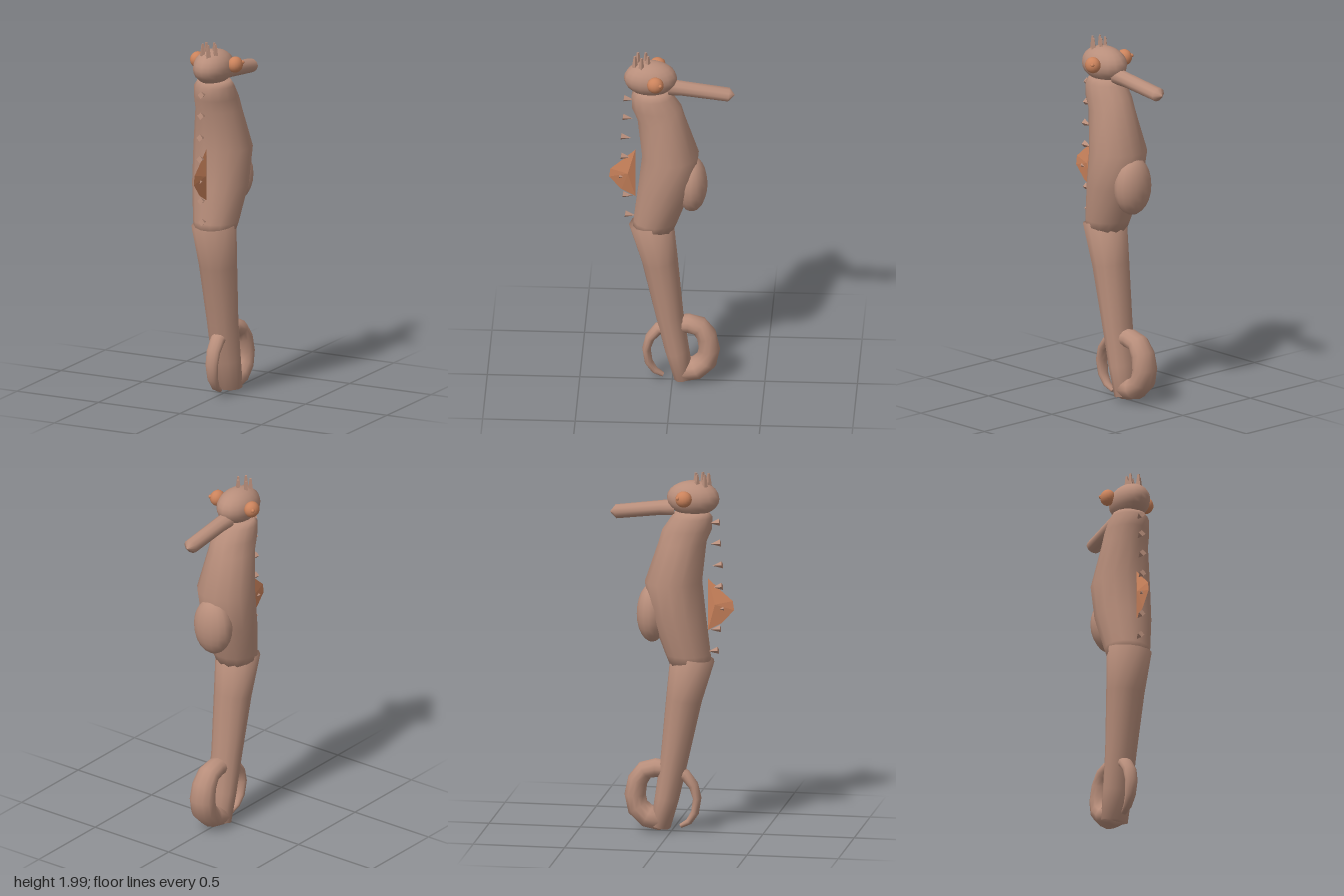
import * as THREE from 'three';

// Skin over oval rings [z, y, in-plane radius, x radius]; level keeps rings horizontal
function loft(rings, sides, level = false) {
  const pos = [], idx = [];
  rings.forEach(([z, y, r, rx], i) => {
    const a = rings[Math.max(i - 1, 0)], b = rings[Math.min(i + 1, rings.length - 1)];
    let tz = b[0] - a[0], ty = b[1] - a[1];
    const len = Math.hypot(tz, ty) || 1;
    tz /= len; ty /= len;
    if (level) { tz = 0; ty = Math.sign(ty) || 1; }
    for (let j = 0; j < sides; j++) {
      const t = (j / sides) * Math.PI * 2, c = Math.cos(t) * rx, s = Math.sin(t) * r;
      pos.push(c, y + s * tz, z - s * ty);
      if (i < rings.length - 1) {
        const p = i * sides + j, q = i * sides + (j + 1) % sides;
        idx.push(p, q, q + sides, p, q + sides, p + sides);
      }
    }
  });
  const g = new THREE.BufferGeometry();
  g.setAttribute('position', new THREE.Float32BufferAttribute(pos, 3));
  g.setIndex(idx);
  g.computeVertexNormals();
  return g;
}

export function createModel() {
  const model = new THREE.Group();
  const skin = new THREE.MeshStandardMaterial({ color: 0xb88e7b });
  skin.name = 'dusty skin';
  const orange = new THREE.MeshStandardMaterial({ color: 0xcb835c });
  orange.name = 'orange';
  const spikeMat = skin;

  const add = (name, geo, mat, x = 0, y = 0, z = 0) => {
    const m = new THREE.Mesh(geo, mat);
    m.name = name;
    m.position.set(x, y, z);
    model.add(m);
    return m;
  };
  const ball = (name, mat, x, y, z, rx, ry, rz) => {
    const m = add(name, new THREE.SphereGeometry(1, 16, 12), mat, x, y, z);
    m.scale.set(rx, ry, rz);
    return m;
  };

  // Trunk, bulging forward at the chest
  add('trunk', loft([
    [0.105, 0.94, 0, 0], [0.105, 0.94, 0.112, 0.112], [0.09, 1.0, 0.122, 0.125],
    [0.04, 1.2, 0.147, 0.155], [0.01, 1.4, 0.155, 0.162], [0.06, 1.62, 0.13, 0.125],
    [0.085, 1.69, 0.135, 0.118], [0.11, 1.76, 0.112, 0.108], [0.11, 1.79, 0.09, 0.09], [0.11, 1.79, 0, 0],
  ], 14, true), skin);
  ball('pouch', skin, 0, 1.22, -0.105, 0.115, 0.16, 0.085);

  // Tapering tail
  add('tail', loft([
    [0.115, 0.985, 0, 0], [0.115, 0.985, 0.122, 0.122], [0.068, 0.75, 0.098, 0.105],
    [0.016, 0.42, 0.076, 0.088], [-0.025, 0.2, 0.066, 0.083], [-0.06, 0.04, 0.055, 0.078], [-0.06, 0.04, 0, 0],
  ], 12), skin);

  // Curl sweeping forward, over and through to the back
  add('tailCurl', loft([
    [-0.05, 0.075, 0, 0], [-0.05, 0.075, 0.062, 0.078], [-0.13, 0.09, 0.062, 0.078],
    [-0.185, 0.14, 0.06, 0.077], [-0.2, 0.21, 0.058, 0.075], [-0.185, 0.29, 0.055, 0.07],
    [-0.145, 0.345, 0.052, 0.064], [-0.085, 0.36, 0.052, 0.058], [-0.01, 0.355, 0.045, 0.05],
    [0.075, 0.325, 0.032, 0.042], [0.12, 0.27, 0.027, 0.04], [0.14, 0.2, 0.023, 0.037],
    [0.128, 0.12, 0.022, 0.031], [0.095, 0.068, 0.018, 0.024], [0.05, 0.042, 0.012, 0.015], [0.05, 0.042, 0, 0],
  ], 12), skin);

  // Head and tubular snout
  ball('head', skin, 0, 1.863, 0.118, 0.102, 0.096, 0.144);
  add('snout', loft([
    [0.02, 1.81, 0.045, 0.046], [-0.06, 1.803, 0.04, 0.044],
    [-0.305, 1.772, 0.038, 0.043], [-0.338, 1.77, 0, 0],
  ], 10), skin);

  // Eyes with a small raised pupil
  for (const s of [-1, 1]) {
    ball('eye', orange, s * 0.116, 1.88, 0.086, 0.04, 0.044, 0.045);
    ball('pupil', orange, s * 0.145, 1.89, 0.058, 0.01, 0.01, 0.01);
  }

  // Crown of five blunt four-sided spikes
  for (const [x, z] of [[-0.03, 0.145], [0.012, 0.131], [0.037, 0.165], [0.012, 0.201], [-0.03, 0.187]]) {
    add('crownSpike', new THREE.CylinderGeometry(0.007, 0.019, 0.08, 4).toNonIndexed(), spikeMat, x, 1.96, z)
      .geometry.computeVertexNormals();
  }

  // Row of studs down the back, wide end outward
  const studs = [[1.73, 0.235], [1.615, 0.24], [1.495, 0.25], [1.375, 0.25], [1.255, 0.26], [1.14, 0.24], [1.02, 0.228]];
  for (const [y, z] of studs) {
    const g = new THREE.ConeGeometry(0.02, 0.055, 4).toNonIndexed();
    g.computeVertexNormals();
    add('backStud', g, spikeMat, 0, y, z).rotation.x = -Math.PI / 2 - 0.15;
  }

  // Dorsal fin, a ridged plate thickest in the middle
  const edge = [[0.2, 1.42], [0.265, 1.36], [0.335, 1.3], [0.342, 1.25], [0.275, 1.175], [0.2, 1.135]];
  const fin = [];
  edge.forEach(([z, y], i) => {
    const [z2, y2] = edge[(i + 1) % edge.length];
    fin.push(0.018, 1.28, 0.24, 0, y, z, 0, y2, z2);
    fin.push(-0.018, 1.28, 0.24, 0, y2, z2, 0, y, z);
  });
  const finGeo = new THREE.BufferGeometry();
  finGeo.setAttribute('position', new THREE.Float32BufferAttribute(fin, 3));
  finGeo.computeVertexNormals();
  orange.side = THREE.DoubleSide;
  add('dorsalFin', finGeo, orange);

  return model;
}
